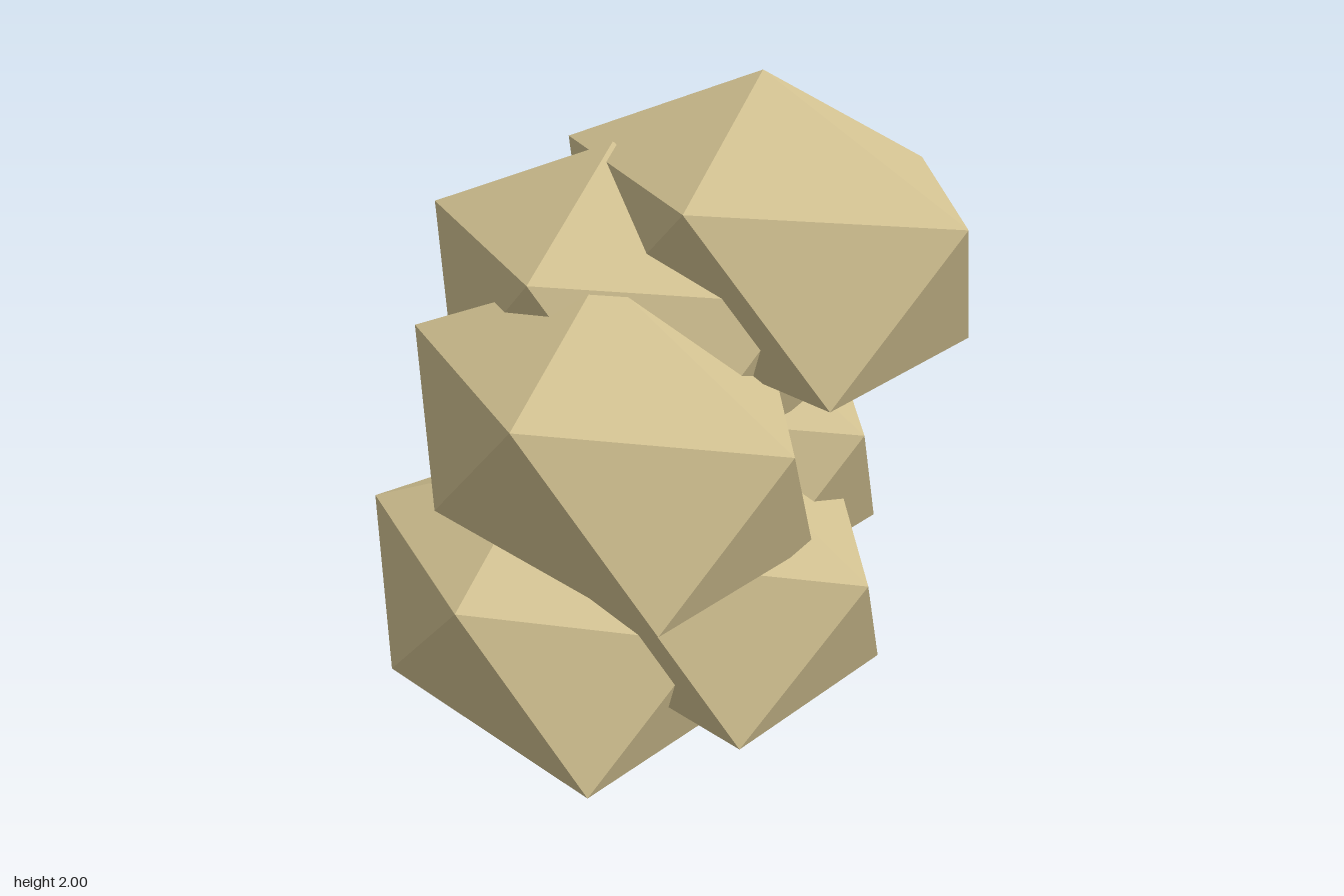
import * as THREE from 'three';

// One rough twenty-sided stone: two five-point rings between a top and a bottom point
function stoneGeometry() {
  const top = [0, 0.87, 0], bottom = [0, 0, 0];
  const upper = [[0.775, 0.635, 0], [0.21, 0.61, 0.437], [-0.545, 0.605, 0.26], [-0.545, 0.605, -0.27], [0.205, 0.6, -0.415]];
  const lower = [[0.635, 0.18, 0.3], [-0.205, 0.21, 0.425], [-0.715, 0.203, 0], [-0.21, 0.21, -0.44], [0.56, 0.21, -0.27]];
  const points = [];
  for (let i = 0; i < 5; i++) {
    const j = (i + 1) % 5;
    points.push(
      ...top, ...upper[j], ...upper[i],
      ...upper[i], ...upper[j], ...lower[i],
      ...lower[i], ...upper[j], ...lower[j],
      ...bottom, ...lower[i], ...lower[j]
    );
  }
  const geometry = new THREE.BufferGeometry();
  geometry.setAttribute('position', new THREE.Float32BufferAttribute(points, 3));
  geometry.computeVertexNormals();
  return geometry;
}

export function createModel() {
  const group = new THREE.Group();
  group.name = 'stoneStack';
  const sandstone = new THREE.MeshStandardMaterial({ color: 0xd6c594 });
  sandstone.name = 'sandstone';
  const geometry = stoneGeometry();

  // Stones climb in even steps, alternating sideways and cycling front, middle, back
  for (let i = 0; i < 6; i++) {
    const stone = new THREE.Mesh(geometry, sandstone);
    stone.name = 'stone' + (i + 1);
    stone.position.set(i % 2 ? 0.126 : -0.19, i * 0.226, 0.27 * (1 - (i % 3)));
    group.add(stone);
  }
  return group;
}
